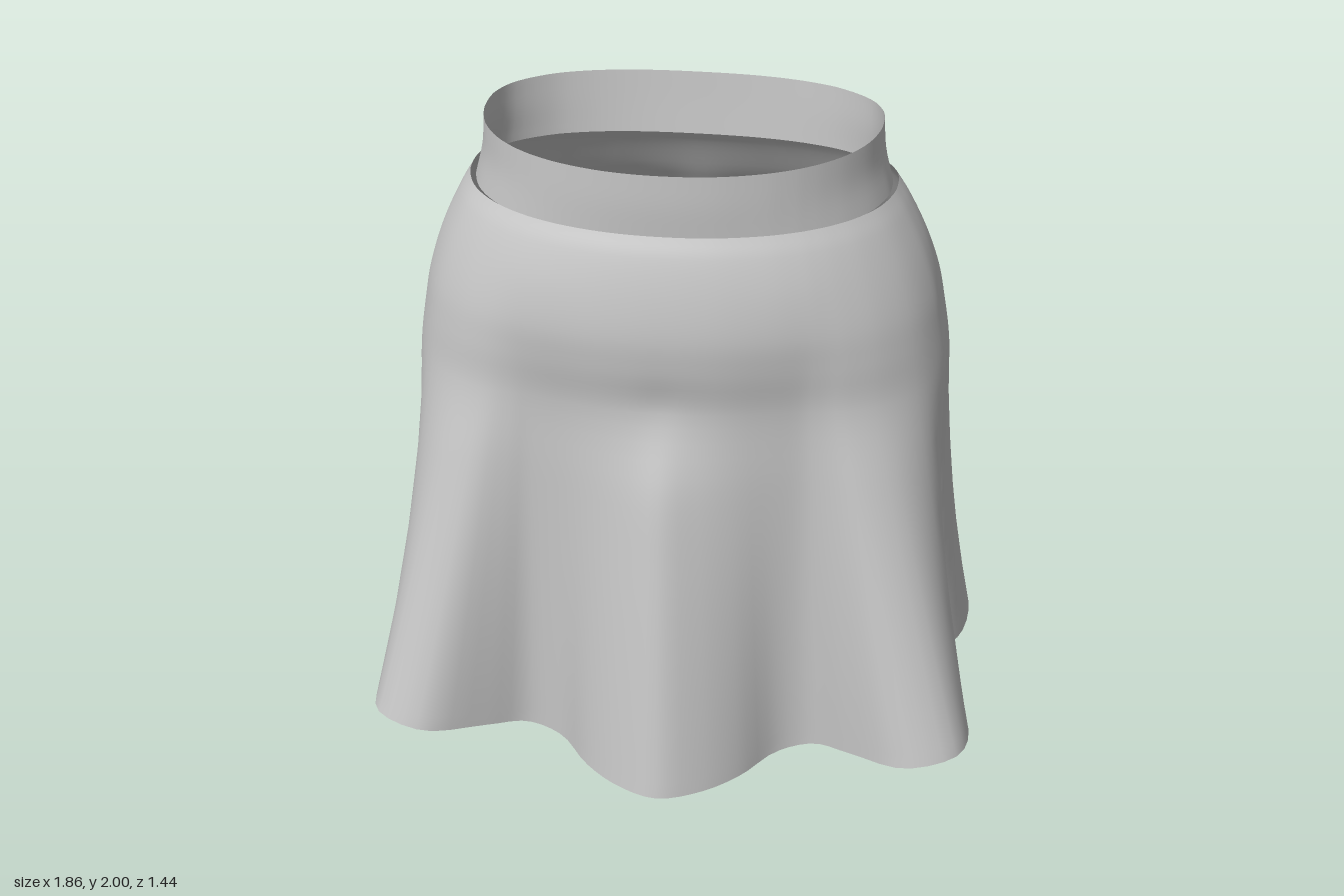
import * as THREE from 'three';

const CZ = 0.1; // centre of the body sections in z
const COLS = 144;
const V = (x, y, z) => new THREE.Vector3(x, y, z);

// Half of the hem from front centre round the left side to back centre: x, y, z
const HALF_HEM = [
  [0, 0, 0.715], [0.13, 0, 0.66], [0.24, 0.01, 0.57], [0.34, 0.03, 0.45],
  [0.45, 0.05, 0.42], [0.57, 0.07, 0.49], [0.75, 0.1, 0.595], [0.905, 0.12, 0.53],
  [0.92, 0.12, 0.34], [0.81, 0.125, 0.17], [0.73, 0.125, 0.09], [0.73, 0.125, 0.02],
  [0.8, 0.125, -0.05], [0.87, 0.12, -0.2], [0.875, 0.12, -0.43], [0.79, 0.11, -0.6],
  [0.65, 0.09, -0.71], [0.48, 0.08, -0.712], [0.33, 0.06, -0.63], [0.17, 0.03, -0.53], [0, 0.02, -0.45],
].map((p) => V(...p));

// Mirror a half outline into a closed loop
const mirrorLoop = (half) => [
  ...half,
  ...half.slice(1, -1).reverse().map((p) => V(-p.x, p.y, p.z)),
];

// Angle on the body for each hem point: mix of true direction and walked length
function hemAngles() {
  const walked = [0];
  for (let i = 1; i < HALF_HEM.length; i++) {
    walked.push(walked[i - 1] + HALF_HEM[i].distanceTo(HALF_HEM[i - 1]));
  }
  const total = walked[walked.length - 1];
  return HALF_HEM.map((p, i) =>
    0.5 * Math.atan2(p.x, p.z - CZ) + 0.5 * Math.PI * walked[i] / total);
}
const ANGLES = hemAngles();

// Rounded body section: half width a, front depth f, back depth b, dip at back centre
function section(y, a, f, b, cleft = 0) {
  return ANGLES.map((t) => {
    const s = Math.sin(t), c = Math.cos(t);
    const n = c > 0 ? 2.1 : 2.45;
    const r = (Math.abs(s / a) ** n + Math.abs(c / (c > 0 ? f : b)) ** n) ** (-1 / n);
    const x = Math.abs(r * s) < 1e-6 ? 0 : r * s;
    const dip = c < 0 ? cleft * Math.exp(-((x / 0.12) ** 2)) : 0;
    return V(x, y, CZ + r * c + dip);
  });
}

// Pull a section part of the way toward the wavy hem, keeping its height;
// the front centre fold opens faster than the others
function fold(half, t, early) {
  return half.map((p, i) => {
    const frontness = Math.max(0, 1 - i / 3);
    const start = early * (1 - frontness);
    const k = start + (1 - start) * t ** (1 - 0.4 * frontness);
    const q = p.clone().lerp(HALF_HEM[i], k);
    q.y = THREE.MathUtils.lerp(p.y, HALF_HEM[i].y, t);
    return q;
  });
}

// Loft a smooth surface down through half sections
function loft(name, halves, rows, material) {
  const loops = halves.map((h) => new THREE.CatmullRomCurve3(mirrorLoop(h), true));
  const pos = [], index = [];
  for (let i = 0; i < COLS; i++) {
    const column = new THREE.CatmullRomCurve3(loops.map((l) => l.getPoint(i / COLS)));
    for (let j = 0; j <= rows; j++) pos.push(...column.getPoint(j / rows).toArray());
  }
  for (let i = 0; i < COLS; i++) {
    for (let j = 0; j < rows; j++) {
      const a = i * (rows + 1) + j, b = ((i + 1) % COLS) * (rows + 1) + j;
      index.push(a, a + 1, b, b, a + 1, b + 1);
    }
  }
  const geo = new THREE.BufferGeometry();
  geo.setAttribute('position', new THREE.Float32BufferAttribute(pos, 3));
  geo.setIndex(index);
  geo.computeVertexNormals();
  const mesh = new THREE.Mesh(geo, material);
  mesh.name = name;
  return mesh;
}

export function createModel() {
  const group = new THREE.Group();
  group.name = 'skirt';
  const cloth = new THREE.MeshStandardMaterial({ color: 0xcccccc, side: THREE.DoubleSide });

  // Fitted yoke over the hips, where the folds begin to show
  const thigh = section(1.25, 0.805, 0.485, 0.59, 0.06);
  const hips = [
    section(1.81, 0.635, 0.485, 0.34),
    section(1.75, 0.67, 0.505, 0.39),
    section(1.63, 0.725, 0.525, 0.475, 0.01),
    fold(section(1.5, 0.765, 0.53, 0.575, 0.03), 0, 0.02),
    fold(section(1.39, 0.785, 0.515, 0.595, 0.05), 0, 0.05),
    fold(thigh, 0, 0.1),
  ];

  // Flared folds down to the wavy hem
  const flare = [0.2, 0.4, 0.6, 0.8, 1].map((t) => fold(thigh, t, 0.1 * (1 - t)));
  group.add(loft('skirtBody', [...hips, ...flare], 50, cloth));

  // Waistband, a thin open sleeve just inside the top edge
  group.add(loft('waistband', [
    section(2.0, 0.588, 0.497, 0.336),
    section(1.9, 0.595, 0.49, 0.335),
    section(1.8, 0.618, 0.477, 0.333),
  ], 8, cloth));

  return group;
}
